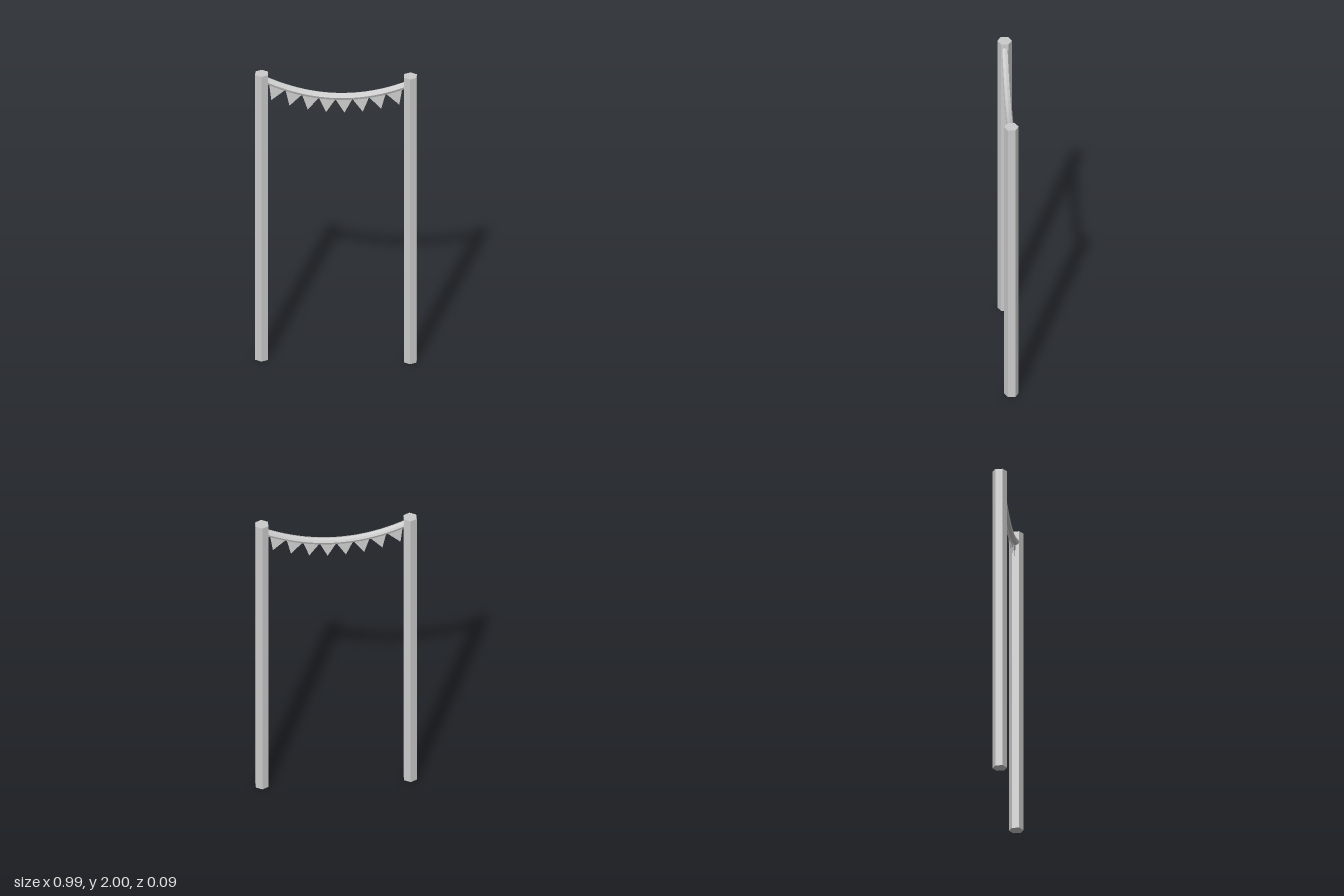
import * as THREE from 'three';

const grey = new THREE.MeshStandardMaterial({ color: 0xcccccc, flatShading: true });
const cloth = new THREE.MeshStandardMaterial({ color: 0xcccccc, side: THREE.DoubleSide });

// Sagging line of the rope, slightly higher on the -x side
const ropeY = (x) => 1.848 - 0.019 * x + 0.524 * x * x;
const ropeSlope = (x) => -0.019 + 1.048 * x;

class SagCurve extends THREE.Curve {
  getPoint(t, target = new THREE.Vector3()) {
    const x = (t - 0.5) * 0.91;
    return target.set(x, ropeY(x), 0);
  }
}

export function createModel() {
  const model = new THREE.Group();

  // Hexagonal poles
  const poleGeometry = new THREE.CylinderGeometry(0.045, 0.045, 2, 6);
  for (const side of [-1, 1]) {
    const pole = new THREE.Mesh(poleGeometry, grey);
    pole.name = side > 0 ? 'leftPole' : 'rightPole';
    pole.position.set(side * 0.455, 1, 0);
    model.add(pole);
  }

  // Eight-sided rope, its ends hidden inside the poles
  const rope = new THREE.Mesh(new THREE.TubeGeometry(new SagCurve(), 20, 0.0225, 8), grey);
  rope.name = 'rope';
  model.add(rope);

  // Triangular flags hanging square to the rope
  const flagGeometry = new THREE.ShapeGeometry(new THREE.Shape([
    new THREE.Vector2(-0.052, -0.018),
    new THREE.Vector2(0, -0.115),
    new THREE.Vector2(0.052, -0.018),
  ]));
  const flags = new THREE.Group();
  flags.name = 'flags';
  for (let i = 0; i < 8; i++) {
    const x = -0.354 + i * 0.1005;
    const flag = new THREE.Mesh(flagGeometry, cloth);
    flag.name = 'flag' + (i + 1);
    flag.position.set(x, ropeY(x), 0);
    flag.rotation.z = Math.atan(ropeSlope(x));
    flags.add(flag);
  }
  model.add(flags);

  return model;
}
